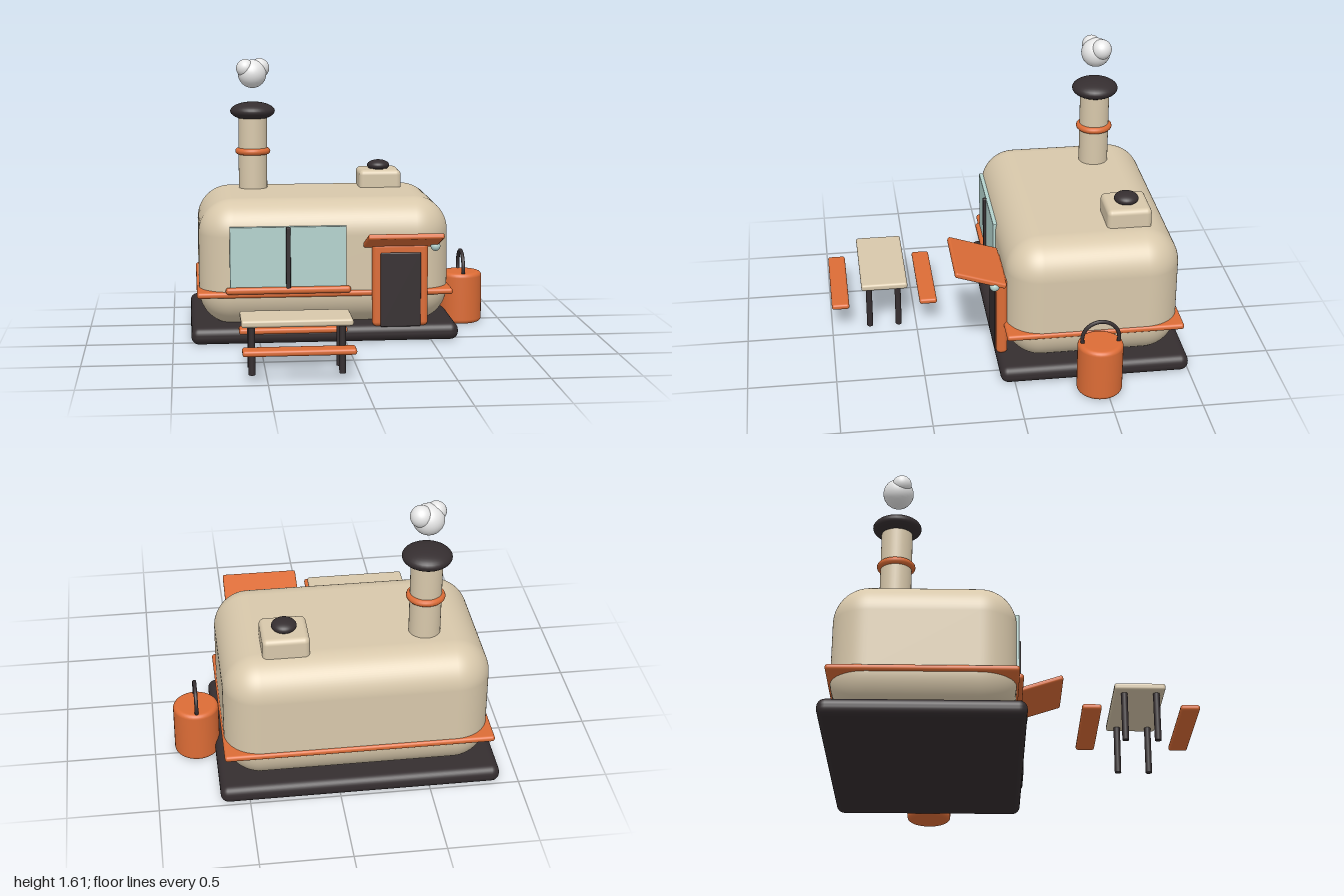
import * as THREE from 'three';
import { RoundedBoxGeometry } from 'three/addons/geometries/RoundedBoxGeometry.js';

function mat(name, color) {
  const m = new THREE.MeshStandardMaterial({ color });
  m.name = name;
  return m;
}

export function createModel() {
  const cream = mat('cream', 0xd8c8ab);
  const orange = mat('orange', 0xdc6c36);
  const dark = mat('charcoal', 0x352e30);
  const glass = mat('pale glass', 0xb4d3ce);
  const white = mat('smoke white', 0xf0f0f0);

  const root = new THREE.Group();
  root.name = 'camperWithPicnicTable';

  const add = (name, geometry, material, x, y, z, parent = root) => {
    const mesh = new THREE.Mesh(geometry, material);
    mesh.name = name;
    mesh.position.set(x, y, z);
    parent.add(mesh);
    return mesh;
  };
  // Rounded box given by its lower and upper limits on each axis
  const box = (name, material, [x0, x1], [y0, y1], [z0, z1], r, parent = root, seg = 4) =>
    add(name, new RoundedBoxGeometry(x1 - x0, y1 - y0, z1 - z0, seg, r), material,
      (x0 + x1) / 2, (y0 + y1) / 2, (z0 + z1) / 2, parent);
  const ball = (name, material, r, x, y, z, squash = 1, parent = root) => {
    const mesh = add(name, new THREE.SphereGeometry(r, 32, 20), material, x, y, z, parent);
    mesh.scale.y = squash;
    return mesh;
  };
  const group = (name) => {
    const g = new THREE.Group();
    g.name = name;
    root.add(g);
    return g;
  };

  // Base, body and trim
  box('base', dark, [-0.895, 0.66], [0, 0.1], [-1, 0.08], 0.045);
  box('body', cream, [-0.845, 0.62], [0.08, 0.82], [-0.955, 0.03], 0.2, root, 10);
  box('beltTrim', orange, [-0.86, 0.63], [0.265, 0.3], [-0.968, 0.042], 0.016);

  // Chimney with collar, cap and smoke
  const chimney = group('chimney');
  chimney.position.set(-0.505, 0, -0.635);
  add('pipe', new THREE.CylinderGeometry(0.087, 0.087, 0.5, 32), cream, 0, 1.02, 0, chimney);
  add('collar', new THREE.TorusGeometry(0.087, 0.02, 12, 40), orange, 0, 1.045, 0, chimney)
    .rotation.x = Math.PI / 2;
  ball('cap', dark, 0.136, 0, 1.29, 0, 0.41, chimney);
  ball('smokePuff', white, 0.086, 0, 1.515, 0, 1, chimney);
  ball('smokePuff', white, 0.06, 0.045, 1.548, -0.025, 1, chimney);
  ball('smokePuff', white, 0.055, -0.043, 1.55, 0.02, 1, chimney);

  // Roof vent
  box('roofVent', cream, [0.143, 0.4], [0.76, 0.925], [-0.807, -0.554], 0.03);
  ball('ventDome', dark, 0.069, 0.272, 0.943, -0.68, 0.5);

  // Window with centre bar and sill
  box('windowPane', glass, [-0.67, 0.005], [0.32, 0.68], [-0.01, 0.044], 0.004);
  box('windowBar', dark, [-0.346, -0.32], [0.32, 0.68], [0.02, 0.062], 0.006);
  box('windowSill', orange, [-0.695, 0.03], [0.29, 0.33], [0.025, 0.067], 0.018);

  // Door, awning and porch lamp
  box('doorFrame', orange, [0.152, 0.476], [0.092, 0.58], [0.02, 0.085], 0.025);
  box('doorPanel', dark, [0.197, 0.433], [0.09, 0.527], [0.05, 0.09], 0.008);
  const awning = add('awning', new RoundedBoxGeometry(0.433, 0.032, 0.3, 4, 0.012), orange,
    0.317, 0.613, 0.178);
  awning.rotation.x = -0.32;
  ball('porchLamp', glass, 0.028, 0.514, 0.564, 0.1);

  // Canister with softened rims and a hoop handle
  const canister = group('canister');
  canister.position.set(0.757, 0, -0.46);
  const R = 0.128, H = 0.31, e = 0.025;
  const profile = [new THREE.Vector2(0, 0)];
  for (let i = 0; i <= 5; i++) {
    const a = -Math.PI / 2 + (i / 5) * Math.PI / 2;
    profile.push(new THREE.Vector2(R - e + e * Math.cos(a), e + e * Math.sin(a)));
  }
  for (let i = 0; i <= 5; i++) {
    const a = (i / 5) * Math.PI / 2;
    profile.push(new THREE.Vector2(R - e + e * Math.cos(a), H - e + e * Math.sin(a)));
  }
  profile.push(new THREE.Vector2(0, H));
  add('tank', new THREE.LatheGeometry(profile, 36), orange, 0, 0, 0, canister);
  add('handle', new THREE.TorusGeometry(0.104, 0.011, 10, 40), dark, 0, 0.332, 0, canister)
    .rotation.y = Math.PI / 2;

  // Picnic table with a bench on each side
  const picnic = group('picnicTable');
  box('tableTop', cream, [-0.633, -0.033], [0.265, 0.304], [0.548, 0.82], 0.014, picnic);
  for (const x of [-0.576, -0.09])
    for (const z of [0.604, 0.775])
      add('tableLeg', new THREE.CylinderGeometry(0.018, 0.018, 0.27, 16), dark, x, 0.135, z, picnic);
  for (const z of [0.375, 0.895])
    box('bench', orange, [-0.633, -0.033], [0.15, 0.183], [z, z + 0.103], 0.014, picnic);

  return root;
}
